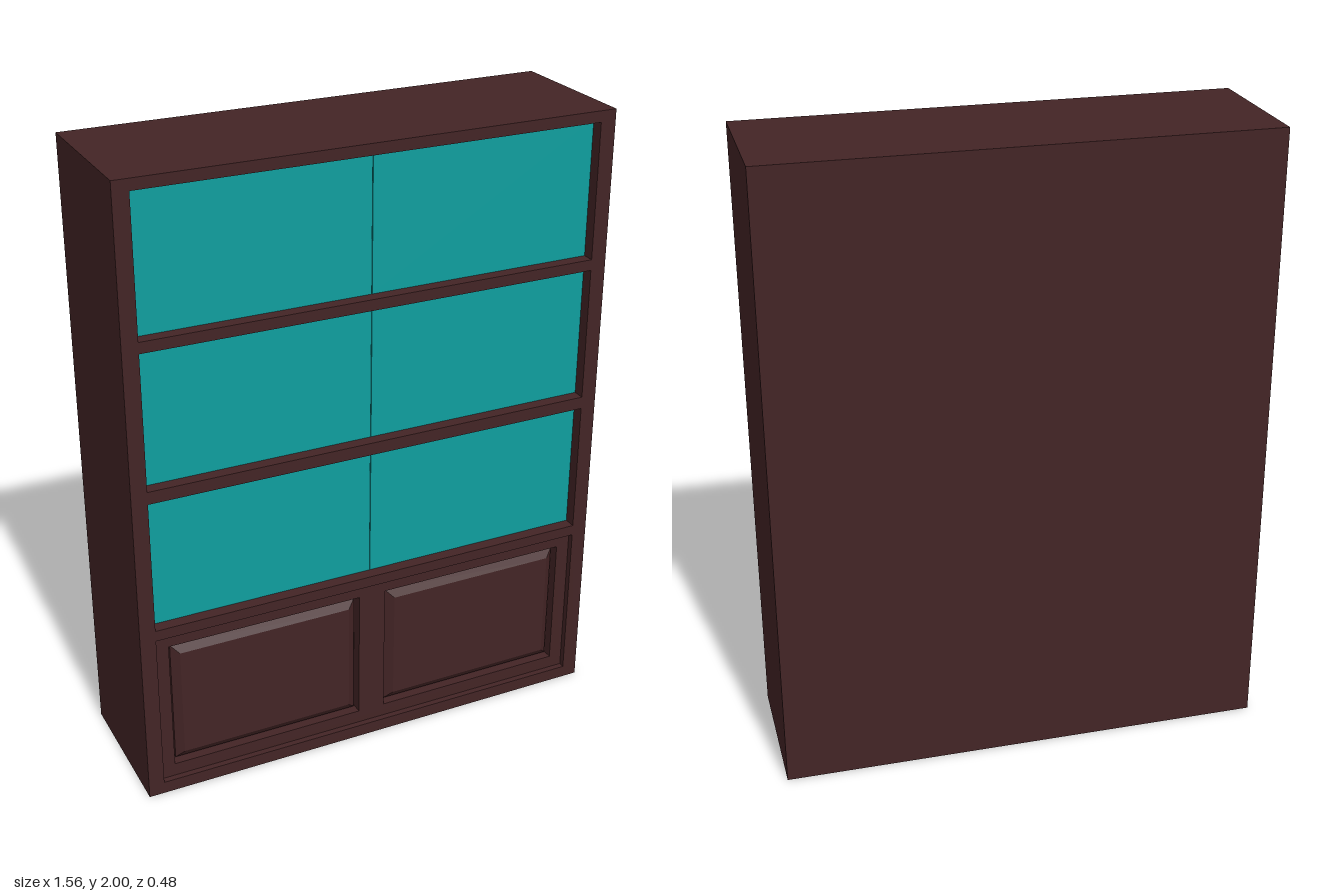
import * as THREE from 'three';

export function createModel() {
  const group = new THREE.Group();
  const wood = new THREE.MeshStandardMaterial({ color: 0x432425 });
  wood.name = 'dark wood';
  const glass = new THREE.MeshStandardMaterial({ color: 0x0f9f9f });
  glass.name = 'teal glass';

  const W = 0.78, H = 2, FRONT = 0.24; // half width, height, front plane
  const IN = 0.73;                     // half width of the openings
  const rows = [[0.60, 1.03], [1.07, 1.50], [1.535, 1.965]];
  const base = [0.04, 0.565];
  const panel = { x0: 0.045, x1: 0.685, y0: 0.083, y1: 0.52 };

  const add = (name, geo, mat, x = 0, y = 0, z = 0) => {
    const mesh = new THREE.Mesh(geo, mat);
    mesh.name = name;
    mesh.position.set(x, y, z);
    group.add(mesh);
  };

  const trace = (path, x0, y0, x1, y1) => {
    path.moveTo(x0, y0);
    path.lineTo(x1, y0);
    path.lineTo(x1, y1);
    path.lineTo(x0, y1);
    path.closePath();
    return path;
  };

  // Solid body behind the front frame
  const frameDepth = 0.06;
  const bodyDepth = 2 * FRONT - frameDepth;
  add('cabinetBody', new THREE.BoxGeometry(2 * W, H, bodyDepth), wood, 0, H / 2, -frameDepth / 2);

  // Front frame: sides, shelves, top and bottom rails around the openings
  const frame = trace(new THREE.Shape(), -W, 0, W, H);
  for (const [y0, y1] of [base, ...rows]) frame.holes.push(trace(new THREE.Path(), -IN, y0, IN, y1));
  add('frontFrame', new THREE.ExtrudeGeometry(frame, { depth: frameDepth, bevelEnabled: false }),
    wood, 0, 0, FRONT - frameDepth);

  // Two panes of glass side by side in each row, set back from the frame
  for (const [y0, y1] of rows)
    for (const s of [-1, 1])
      add('glassPane', new THREE.BoxGeometry(IN - 0.001, y1 - y0, 0.02), glass,
        s * (IN + 0.001) / 2, (y0 + y1) / 2, FRONT - 0.05);

  // Lower door frame with two panel openings
  const door = trace(new THREE.Shape(), -IN, base[0], IN, base[1]);
  for (const s of [-1, 1])
    door.holes.push(trace(new THREE.Path(), s * panel.x0, panel.y0, s * panel.x1, panel.y1));
  add('doorFrame', new THREE.ExtrudeGeometry(door, { depth: 0.04, bevelEnabled: false }),
    wood, 0, 0, FRONT - 0.06);

  // Raised panels with sloping borders and a thin groove around them
  const bevel = 0.026, groove = 0.01;
  const w = (panel.x1 - panel.x0) / 2 - bevel - groove;
  const h = (panel.y1 - panel.y0) / 2 - bevel - groove;
  const field = trace(new THREE.Shape(), -w, -h, w, h);
  for (const s of [-1, 1])
    add('raisedPanel', new THREE.ExtrudeGeometry(field, {
      depth: 0.02, bevelEnabled: true, bevelSegments: 1, bevelSize: bevel, bevelThickness: 0.018,
    }), wood, s * (panel.x0 + panel.x1) / 2, (panel.y0 + panel.y1) / 2, FRONT - 0.06);

  return group;
}
